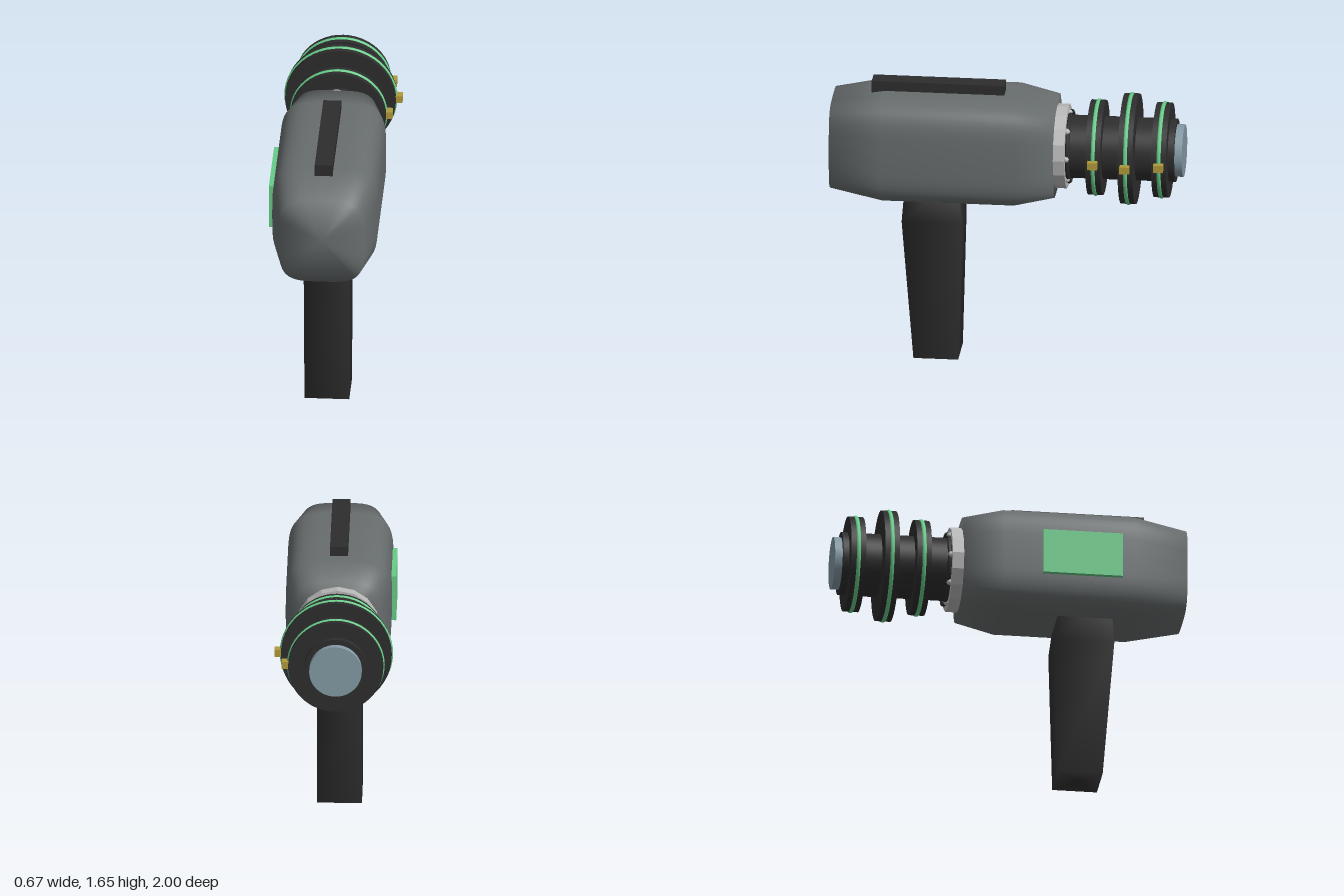
import * as THREE from 'three';

const CX = -0.017, CY = 1.28; // axis of body and barrel

const mat = (name, color, extra = {}) => Object.assign(new THREE.MeshStandardMaterial({ color }), { name }, extra);

// Smooth closed loft through rings of [x, y, z] points, capped at both ends
function loft(rings) {
  const n = rings[0].length, pos = rings.flat(2), idx = [];
  for (let i = 0; i < rings.length - 1; i++) {
    for (let j = 0; j < n; j++) {
      const a = i * n + j, b = i * n + (j + 1) % n;
      idx.push(a, b, b + n, a, b + n, a + n);
    }
  }
  const centre = (ring) => [0, 1, 2].map((k) => ring.reduce((s, p) => s + p[k], 0) / n);
  const last = rings.length - 1, c = rings.length * n;
  pos.push(...centre(rings[0]), ...centre(rings[last]));
  for (let j = 0; j < n; j++) {
    const k = (j + 1) % n;
    idx.push(c, k, j, c + 1, last * n + j, last * n + k);
  }
  const g = new THREE.BufferGeometry();
  g.setAttribute('position', new THREE.Float32BufferAttribute(pos, 3));
  g.setIndex(idx);
  g.computeVertexNormals();
  return g;
}

export function createModel() {
  const model = new THREE.Group();
  model.name = 'handheldDevice';
  const bodyGrey = mat('bodyGrey', 0x686d6d);
  const black = mat('black', 0x2d2d2d);
  const green = mat('green', 0x66cc88);
  const silver = mat('silver', 0xb8b8b8);
  const gold = mat('gold', 0xb09a3a);
  const glass = mat('glass', 0x8399a4);

  const add = (name, geometry, material, x, y, z) => {
    const m = new THREE.Mesh(geometry, material);
    m.name = name;
    m.position.set(x, y, z);
    model.add(m);
    return m;
  };
  // Disc or tube along z between two depths
  const drum = (name, r, z0, z1, material, sides = 48) =>
    add(name, new THREE.CylinderGeometry(r, r, Math.abs(z1 - z0), sides).rotateX(Math.PI / 2), material, CX, CY, (z0 + z1) / 2);

  // Body: rounded-square sections tapering at both ends
  const section = (z, w, h) => Array.from({ length: 48 }, (_, i) => {
    const t = i / 48 * Math.PI * 2, c = Math.cos(t), s = Math.sin(t);
    return [Math.sign(c) * Math.sqrt(Math.abs(c)) * w, Math.sign(s) * Math.sqrt(Math.abs(s)) * h, z];
  });
  add('body', loft([
    section(-0.275, 0.24, 0.27), section(-0.05, 0.299, 0.313),
    section(0.7, 0.299, 0.313), section(1, 0.24, 0.26),
  ]), bodyGrey, CX, CY, 0);

  // Grip: four-sided, widest just below the body
  const gripRing = (y, z0, z1) => [[0.127, y, z1], [0.127, y, z0], [-0.127, y, z0], [-0.127, y, z1]];
  add('grip', loft([gripRing(0, 0.275, 0.53), gripRing(0.83, 0.253, 0.597), gripRing(1.1, 0.29, 0.575)]),
    black, CX, 0, 0);

  // Top rail and side panel
  add('topRail', new THREE.BoxGeometry(0.102, 0.07, 0.755), black, CX - 0.002, 1.614, 0.398);
  add('sidePanel', new THREE.BoxGeometry(0.04, 0.265, 0.455), green, -0.32, 1.283, 0.393);

  // Collar with a thin seal and bolts
  const collar = drum('collar', 0.24, -0.26, -0.34, silver, 16);
  collar.geometry = collar.geometry.toNonIndexed();
  collar.geometry.computeVertexNormals();
  add('collarSeal', new THREE.TorusGeometry(0.2, 0.012, 8, 40), black, CX, CY, -0.352);
  for (let i = 0; i < 8; i++) {
    const a = i * Math.PI / 4;
    add('collarBolt', new THREE.SphereGeometry(0.018, 10, 8), silver,
      CX + Math.cos(a) * 0.205, CY + Math.sin(a) * 0.205, -0.346);
  }

  // Barrel and lens
  drum('barrel', 0.179, -0.33, -0.957, black);
  drum('lens', 0.149, -0.94, -1, glass);

  // Barrel discs, each with a glowing band and a side pin
  for (const [z, r] of [[-0.505, 0.27], [-0.693, 0.314], [-0.88, 0.27]]) {
    drum('barrelDisc', r, z - 0.042, z + 0.042, black);
    add('discBand', new THREE.TorusGeometry(r - 0.007, 0.014, 10, 56), green, CX, CY, z);
    add('discPin', new THREE.BoxGeometry(0.05, 0.042, 0.056), gold, CX + r + 0.012, CY + 0.003, z);
  }
  return model;
}
